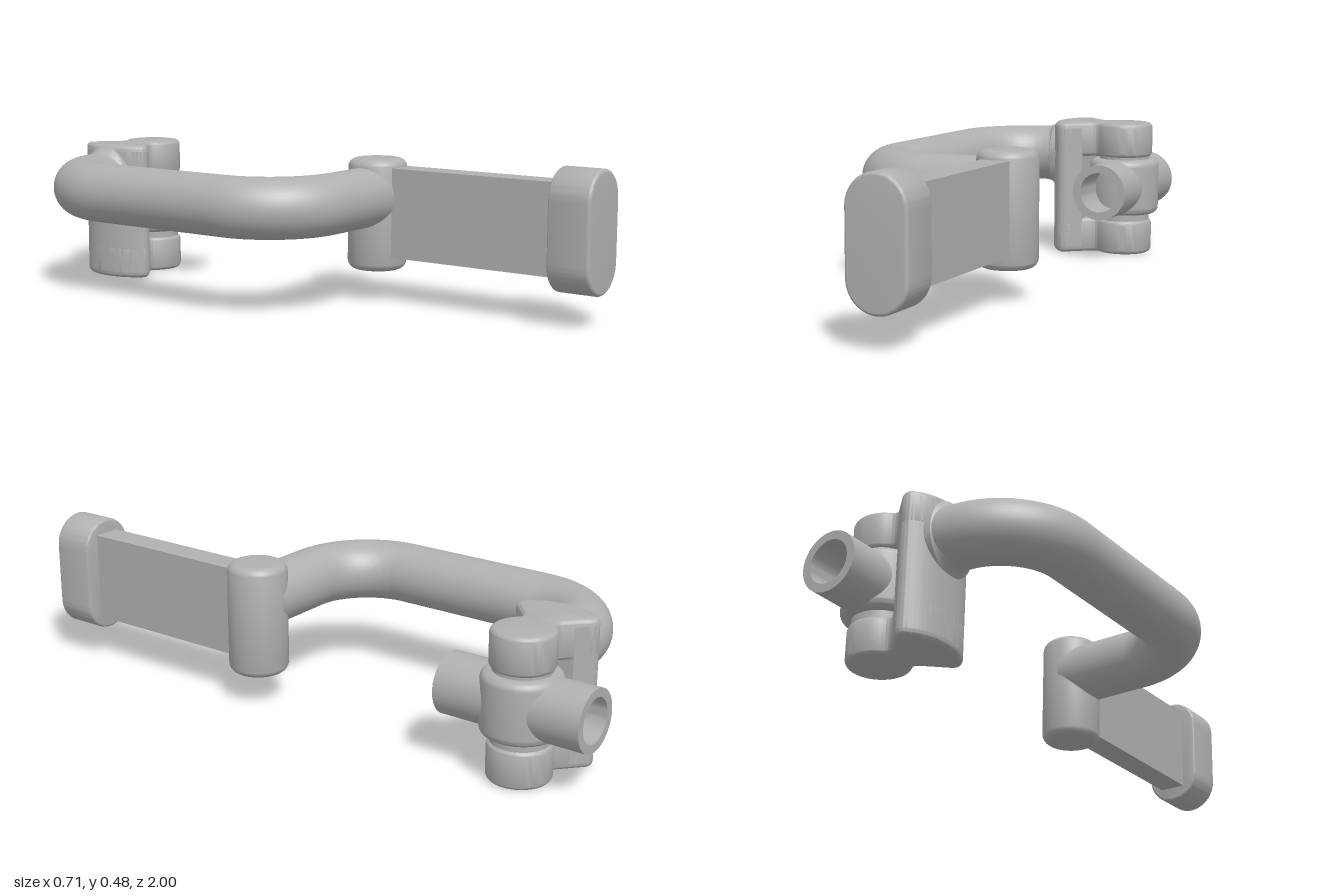
import * as THREE from 'three';
import { toCreasedNormals } from 'three/addons/utils/BufferGeometryUtils.js';

const metal = new THREE.MeshStandardMaterial({ color: 0xb0b0b0 });
metal.name = 'grey metal';

const PIVOT_X = 0.235, PIVOT_Z = -0.765, TUBE_Y = 0.338, TUBE_R = 0.096;

export function createModel() {
  const model = new THREE.Group();
  model.name = 'bentPivotArm';

  const add = (name, geometry, x = 0, y = 0, z = 0) => {
    const mesh = new THREE.Mesh(toCreasedNormals(geometry, 0.6), metal);
    mesh.name = name;
    mesh.position.set(x, y, z);
    model.add(mesh);
    return mesh;
  };
  const lathe = (points) => new THREE.LatheGeometry(points.map(([r, y]) => new THREE.Vector2(r, y)), 48);

  // Upright cylinder with rounded rims
  const roundedCylinder = (r, y0, y1, e) => {
    const points = [[0, y0]];
    for (let i = 0; i <= 6; i++) {
      const a = (i / 6) * Math.PI / 2;
      points.push([r - e + e * Math.sin(a), y0 + e - e * Math.cos(a)]);
    }
    for (let i = 0; i <= 6; i++) {
      const a = (i / 6) * Math.PI / 2;
      points.push([r - e + e * Math.cos(a), y1 - e + e * Math.sin(a)]);
    }
    points.push([0, y1]);
    return lathe(points);
  };

  // Extrusion whose bevel stays inside the outline and the depth
  const extrude = (shape, depth, bevel) => new THREE.ExtrudeGeometry(shape, {
    depth: depth - 2 * bevel, curveSegments: 20, bevelEnabled: bevel > 0,
    bevelSize: bevel, bevelThickness: bevel, bevelOffset: -bevel, bevelSegments: 5,
  }).translate(0, 0, bevel);

  // Bent main tube: straight runs joined by two quarter bends
  const v = (x, z) => new THREE.Vector3(x, TUBE_Y, z);
  const k = 0.23 * 0.4477;
  const path = new THREE.CurvePath();
  path.add(new THREE.LineCurve3(v(0.225, 0.2), v(-0.03, 0.2)));
  path.add(new THREE.CubicBezierCurve3(v(-0.03, 0.2), v(-0.26 + k, 0.2), v(-0.26, 0.2 - k), v(-0.26, -0.03)));
  path.add(new THREE.LineCurve3(v(-0.26, -0.03), v(-0.26, -0.535)));
  path.add(new THREE.CubicBezierCurve3(v(-0.26, -0.535), v(-0.26, PIVOT_Z + k), v(-0.26 + k, PIVOT_Z), v(-0.03, PIVOT_Z)));
  path.add(new THREE.LineCurve3(v(-0.03, PIVOT_Z), v(0.04, PIVOT_Z)));
  add('mainTube', new THREE.TubeGeometry(path, 120, TUBE_R, 40));

  // Flare where the tube meets the bracket
  const flare = lathe([[0.096, -0.06], [0.099, -0.043], [0.104, -0.029], [0.111, -0.019], [0.119, -0.013], [0.119, 0.02]]);
  flare.rotateZ(-Math.PI / 2).scale(1, 1, 0.83);
  add('tubeFlare', flare, 0, TUBE_Y, PIVOT_Z);

  // Post, flat blade and end pad
  add('post', roundedCylinder(0.095, 0.1, 0.46, 0.03), 0.235, 0, 0.202);
  add('blade', new THREE.BoxGeometry(0.09, 0.287, 0.68), 0.235, 0.291, 0.54);
  const pad = new THREE.Shape();
  pad.absarc(0, 0.095, 0.095, 0, Math.PI);
  pad.absarc(0, -0.095, 0.095, Math.PI, Math.PI * 2);
  pad.closePath();
  add('endPad', extrude(pad, 0.14, 0.01), 0.235, 0.29, 0.86);

  // Left half of the bracket outline, shared by its body and its two arms
  const bracketShape = (withEye) => {
    const s = new THREE.Shape();
    s.moveTo(-0.015, 0);
    s.quadraticCurveTo(-0.015, 0.07, 0.025, 0.118);
    s.quadraticCurveTo(0.05, 0.15, 0.08, 0.118);
    if (withEye) {
      s.lineTo(0.135, 0.068);
      s.quadraticCurveTo(0.15, 0.055, 0.165, 0.067);
      s.absarc(PIVOT_X, 0, 0.097, 2.378, -2.378, true);
      s.quadraticCurveTo(0.15, -0.055, 0.135, -0.068);
    } else {
      s.lineTo(0.11, 0.091);
      s.lineTo(0.11, -0.091);
    }
    s.lineTo(0.08, -0.118);
    s.quadraticCurveTo(0.05, -0.15, 0.025, -0.118);
    s.quadraticCurveTo(-0.015, -0.07, -0.015, 0);
    return s;
  };
  const upright = (geometry) => geometry.rotateX(-Math.PI / 2);
  add('bracketBody', upright(extrude(bracketShape(false), 0.42, 0)), 0, 0.02, PIVOT_Z);
  add('lowerArm', upright(extrude(bracketShape(true), 0.12, 0.018)), 0, 0, PIVOT_Z);
  add('upperArm', upright(extrude(bracketShape(true), 0.12, 0.018)), 0, 0.34, PIVOT_Z);

  // Pivot pin stubs and hub
  for (const y of [0.13, 0.34]) {
    add('pivotPin', new THREE.CylinderGeometry(0.088, 0.088, 0.04, 40), PIVOT_X, y, PIVOT_Z);
  }
  add('pivotHub', roundedCylinder(0.12, 0.14, 0.334, 0.025), PIVOT_X, 0, PIVOT_Z);

  // Hollow cross pipe through the hub
  const h = 0.2375;
  const pipe = lathe([[0.068, -h], [0.095, -h], [0.095, h], [0.068, h], [0.068, -h]]);
  add('crossPipe', pipe.rotateX(Math.PI / 2), PIVOT_X, 0.237, -0.7625);

  return model;
}
